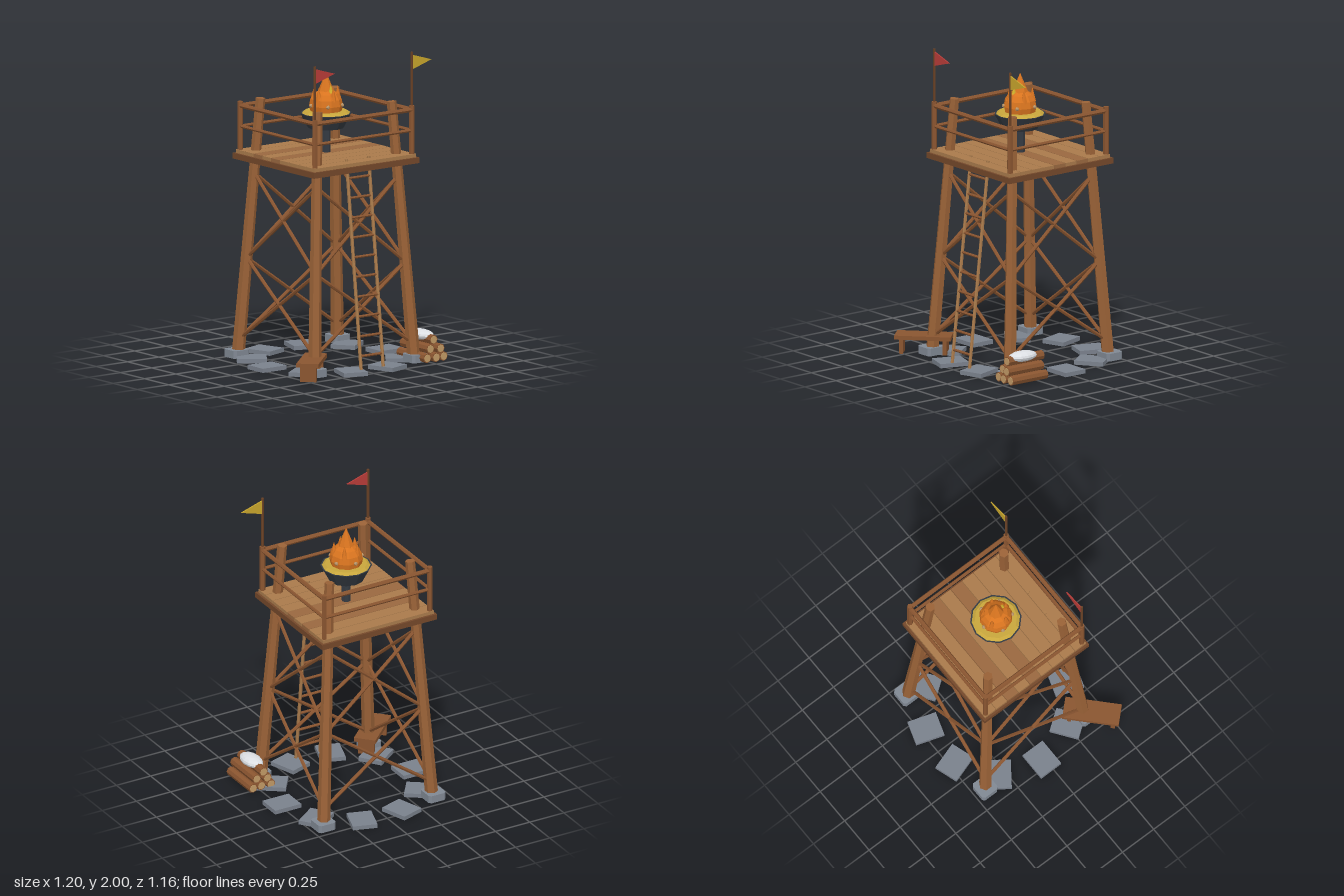
import * as THREE from 'three';

const mat = (color, side = THREE.FrontSide) =>
  new THREE.MeshStandardMaterial({ color, side, flatShading: true });
const M = {
  leg: mat(0x9a6237), wood: mat(0x8a5530), light: mat(0xa97a4b), mid: mat(0x99683f),
  frame: mat(0x74482a), pole: mat(0x6b4226), cut: mat(0xc29a66),
  stone: mat(0x808893), slab: mat(0x7a818c), iron: mat(0x343a42),
  glow: mat(0xc8a63c), flame: mat(0xd9741f), spark: mat(0xd8b42c), ember: mat(0xb89468),
  sack: mat(0xdcdfe3), red: mat(0xb83c38, THREE.DoubleSide), yellow: mat(0xc8a52c, THREE.DoubleSide),
};
const V = (x, y, z) => new THREE.Vector3(x, y, z);

function add(parent, name, geometry, material, x = 0, y = 0, z = 0) {
  const mesh = new THREE.Mesh(geometry, material);
  mesh.name = name;
  mesh.position.set(x, y, z);
  parent.add(mesh);
  return mesh;
}

// Round bar between two points
function bar(parent, name, a, b, r0, r1, material, sides = 6) {
  const geo = new THREE.CylinderGeometry(r1, r0, a.distanceTo(b), sides);
  const mesh = add(parent, name, geo, material);
  mesh.position.copy(a).add(b).multiplyScalar(0.5);
  mesh.quaternion.setFromUnitVectors(V(0, 1, 0), b.clone().sub(a).normalize());
  return mesh;
}

function group(parent, name, x = 0, y = 0, z = 0) {
  const g = new THREE.Group();
  g.name = name;
  g.position.set(x, y, z);
  parent.add(g);
  return g;
}

// Block with chamfered upright corners
function footStone(s, h) {
  const a = s / 2, c = a - 0.015;
  const pts = [[-c, -a], [c, -a], [a, -c], [a, c], [c, a], [-c, a], [-a, c], [-a, -c]];
  const shape = new THREE.Shape(pts.map(p => new THREE.Vector2(...p)));
  return new THREE.ExtrudeGeometry(shape, { depth: h, bevelEnabled: false }).rotateX(-Math.PI / 2);
}

const legOffset = y => 0.395 - 0.1 * (y - 0.03) / 1.65;

function buildFrame(tower) {
  for (const sx of [-1, 1]) for (const sz of [-1, 1]) {
    const at = y => V(sx * legOffset(y), y, sz * legOffset(y));
    bar(tower, 'leg', at(0.03), at(1.68), 0.042, 0.031, M.leg);
    add(tower, 'footStone', footStone(0.124, 0.05), M.stone, sx * 0.402, 0.01, sz * 0.402);
  }
  // Two tiers of crossed braces on each side
  for (let side = 0; side < 4; side++) {
    const g = group(tower, 'crossBraces');
    g.rotation.y = side * Math.PI / 2;
    for (const [y0, y1] of [[0.13, 0.65], [0.65, 1.2]]) for (const s of [-1, 1])
      bar(g, 'brace', V(-s * legOffset(y0), y0, legOffset(y0)),
        V(s * legOffset(y1), y1, legOffset(y1)), 0.012, 0.012, M.wood);
  }
}

function buildPlatform(tower) {
  add(tower, 'platformBase', new THREE.BoxGeometry(0.84, 0.037, 0.84), M.frame, 0, 1.304, 0);
  for (let i = 0; i < 9; i++)
    add(tower, 'plank', new THREE.BoxGeometry(0.81, 0.024, 0.086),
      i === 2 || i === 4 ? M.mid : M.light, 0, 1.333, (i - 4) * 0.0905);
  // Railing: one post and two rails per side, turned around the centre
  for (let side = 0; side < 4; side++) {
    const g = group(tower, 'railing');
    g.rotation.y = side * Math.PI / 2;
    const d = 0.386;
    bar(g, 'railPost', V(d, 1.32, d), V(d, 1.655, d), 0.018, 0.018, M.wood);
    bar(g, 'topRail', V(-d, 1.628, d), V(d, 1.628, d), 0.015, 0.015, M.wood);
    bar(g, 'middleRail', V(-d, 1.495, d), V(d, 1.495, d), 0.011, 0.011, M.wood);
  }
  // Pennants on the two front corners
  const tri = new THREE.Shape([[0, 0.048], [0, -0.048], [0.155, 0]].map(p => new THREE.Vector2(...p)));
  const flag = new THREE.ExtrudeGeometry(tri, { depth: 0.008, bevelEnabled: false }).translate(0, 0, -0.004);
  for (const [s, m] of [[-1, M.red], [1, M.yellow]]) {
    bar(tower, 'flagPole', V(s * 0.386, 1.35, 0.386), V(s * 0.386, 2, 0.386), 0.008, 0.008, M.pole);
    add(tower, 'flag', flag, m, s * 0.386, 1.935, 0.386);
  }
}

function buildBrazier(tower) {
  const g = group(tower, 'brazier');
  bar(g, 'brazierStem', V(0, 1.34, 0), V(0, 1.51, 0), 0.03, 0.03, M.iron, 8);
  add(g, 'bowl', new THREE.CylinderGeometry(0.164, 0.115, 0.094, 12), M.iron, 0, 1.549, 0);
  add(g, 'glowingBed', new THREE.CylinderGeometry(0.135, 0.157, 0.016, 12), M.glow, 0, 1.602, 0);
  add(g, 'flameBody', new THREE.SphereGeometry(0.107, 10, 8), M.flame, 0, 1.645, 0);
  add(g, 'flameTip', new THREE.ConeGeometry(0.062, 0.15, 8), M.flame, 0, 1.785, 0);
  add(g, 'frontSpark', new THREE.ConeGeometry(0.022, 0.08, 6), M.spark, 0, 1.745, 0.05);
  // Small tongues and embers around the fire
  for (let i = 0; i < 5; i++) {
    const a = i * Math.PI * 0.4 + 0.35, c = Math.cos(a), s = Math.sin(a);
    add(g, 'flameTongue', new THREE.ConeGeometry(0.024, 0.09, 6), M.flame, c * 0.078, 1.722, s * 0.078);
    add(g, 'ember', new THREE.IcosahedronGeometry(0.014, 0), M.ember,
      Math.cos(a + 0.5) * 0.104, 1.648, Math.sin(a + 0.5) * 0.104);
  }
}

function buildLadder(tower) {
  const g = group(tower, 'ladder');
  const at = (x, y) => V(x, y, 0.48 - 0.114 * y);
  for (const s of [-1, 1])
    bar(g, 'ladderRail', at(s * 0.088, 0.01), at(s * 0.088, 1.357), 0.011, 0.011, M.light);
  for (let i = 0; i < 10; i++) {
    const y = 0.11 + i * 0.125;
    bar(g, 'rung', at(-0.09, y), at(0.09, y), 0.009, 0.009, M.wood);
  }
}

function buildGround(root, tower) {
  // Ring of paving slabs
  for (let i = 0; i < 10; i++) {
    const g = group(tower, 'pavingSlab');
    g.rotation.y = i * Math.PI / 5;
    add(g, 'slab', new THREE.BoxGeometry(0.19, 0.027, 0.16), M.slab, 0.47, 0.0135, 0);
  }
  // Bench
  const bench = group(root, 'bench', -0.422, 0, 0.405);
  bench.rotation.y = 0.76;
  add(bench, 'benchSeat', new THREE.BoxGeometry(0.36, 0.026, 0.142), M.wood, 0, 0.12, 0);
  for (const s of [-1, 1])
    add(bench, 'benchLeg', new THREE.BoxGeometry(0.026, 0.098, 0.105), M.wood, s * 0.14, 0.06, 0);
  // Stacked logs with pale cut ends, and a sack on top
  const pile = group(root, 'logPile', 0.502, 0, 0.345);
  const logs = [[-0.064, 0.042, 0], [0, 0.042, 0.01], [0.064, 0.042, 0.004],
    [-0.033, 0.097, -0.008], [0.033, 0.097, 0.012], [0, 0.152, -0.017]];
  for (const [x, y, z] of logs) {
    bar(pile, 'log', V(x, y, z - 0.14), V(x, y, z + 0.14), 0.031, 0.031, M.wood, 8);
    bar(pile, 'logCore', V(x, y, z - 0.143), V(x, y, z + 0.143), 0.025, 0.025, M.cut, 8);
  }
  const sack = add(pile, 'sack', new THREE.SphereGeometry(1, 12, 8), M.sack, 0, 0.168, -0.003);
  sack.scale.set(0.062, 0.034, 0.105);
}

export function createModel() {
  const root = new THREE.Group();
  root.name = 'watchtower';
  const tower = group(root, 'tower', 0.02, 0, -0.02);
  buildFrame(tower);
  buildPlatform(tower);
  buildBrazier(tower);
  buildLadder(tower);
  buildGround(root, tower);
  return root;
}
